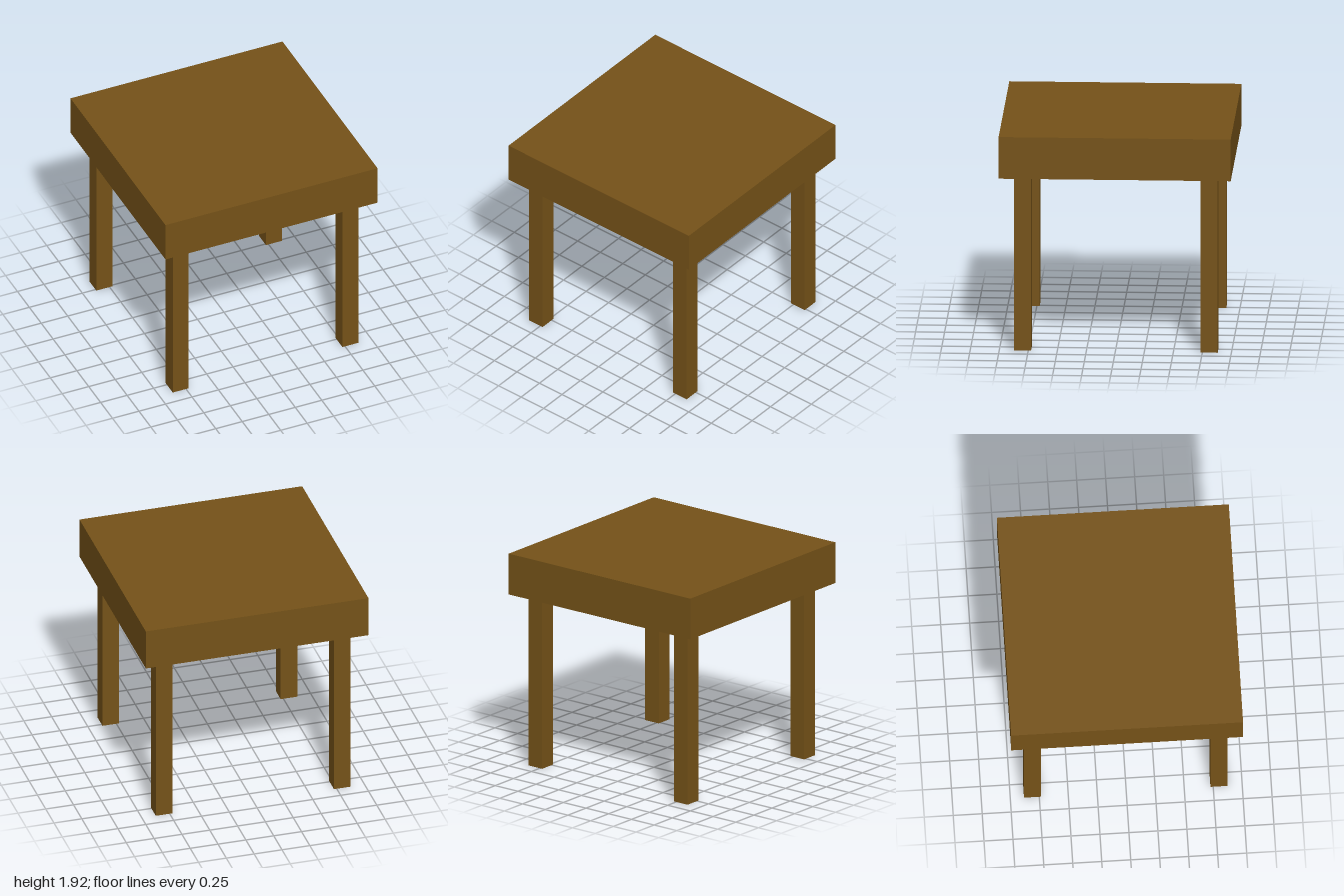
import * as THREE from 'three';

const wood = new THREE.MeshStandardMaterial({ color: 0x755218 });

// Box given by its size, its centre in x and z, and its underside height
function block(name, [w, h, d], x, y, z) {
  const mesh = new THREE.Mesh(new THREE.BoxGeometry(w, h, d), wood);
  mesh.name = name;
  mesh.position.set(x, y + h / 2, z);
  return mesh;
}

export function createModel() {
  const table = new THREE.Group();
  table.name = 'table';

  const legHeight = 1.553;
  const topThickness = 0.369;

  // Thick square top
  table.add(block('tableTop', [2, topThickness, 2], 0, legHeight, 0));

  // Four square legs, set in from the corners
  for (const [side, x] of [['Left', 0.8], ['Right', -0.8]]) {
    for (const [end, z] of [['front', 0.8], ['back', -0.808]]) {
      table.add(block(`${end}${side}Leg`, [0.15, legHeight, 0.148], x, 0, z));
    }
  }
  return table;
}
